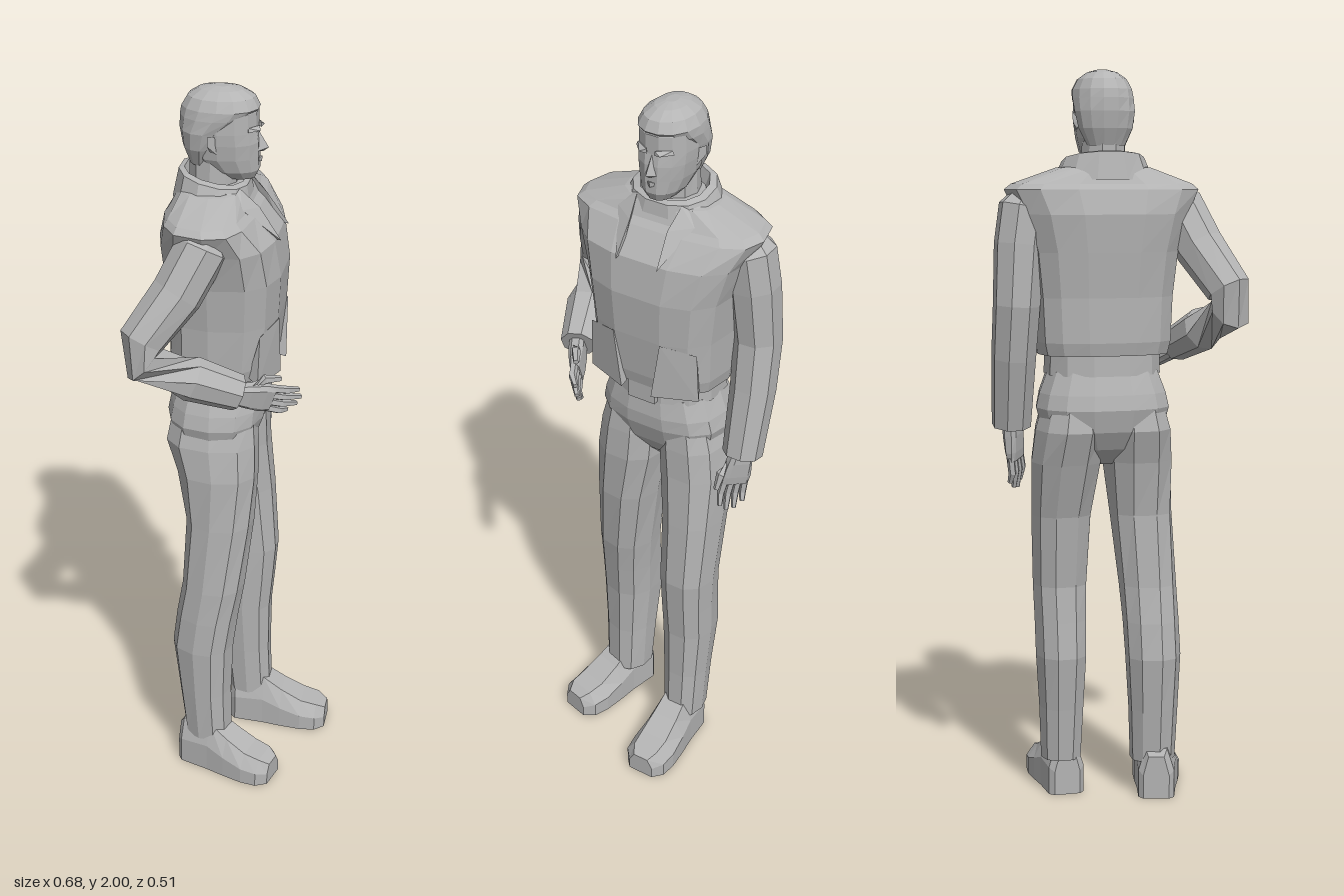
import * as THREE from 'three';
import { ConvexGeometry } from 'three/addons/geometries/ConvexGeometry.js';

const V = (x, y, z) => new THREE.Vector3(x, y, z);

export function createModel() {
  const clay = new THREE.MeshStandardMaterial({ color: 0xb4b4b4 });
  clay.name = 'plain grey';

  const model = new THREE.Group();
  model.name = 'standingMan';
  // The whole figure is turned towards its left
  const body = new THREE.Group();
  body.name = 'body';
  body.position.set(0.06, 0, -0.03);
  body.rotation.y = 0.576;
  model.add(body);

  function add(name, geometry, parent = body) {
    const m = new THREE.Mesh(geometry, clay);
    m.name = name;
    parent.add(m);
    return m;
  }

  // Faceted skin over a list of rings (counterclockwise around the direction of travel)
  function skin(rings, caps = true) {
    const n = rings[0].length, pos = [], idx = [];
    rings.forEach(r => r.forEach(p => pos.push(p.x, p.y, p.z)));
    for (let i = 0; i < rings.length - 1; i++) {
      for (let j = 0; j < n; j++) {
        const a = i * n + j, b = i * n + (j + 1) % n;
        idx.push(a, b, b + n, a, b + n, a + n);
      }
    }
    if (caps) {
      [0, rings.length - 1].forEach((i, end) => {
        const c = rings[i].reduce((s, p) => s.add(p), V(0, 0, 0)).divideScalar(n);
        const k = pos.length / 3;
        pos.push(c.x, c.y, c.z);
        for (let j = 0; j < n; j++) {
          const a = i * n + j, b = i * n + (j + 1) % n;
          if (end) idx.push(k, a, b); else idx.push(k, b, a);
        }
      });
    }
    const g = new THREE.BufferGeometry();
    g.setAttribute('position', new THREE.Float32BufferAttribute(pos, 3));
    g.setIndex(idx);
    const flat = g.toNonIndexed();
    flat.computeVertexNormals();
    return flat;
  }

  // Level sections: [y, centre x, centre z, half width, front depth, back depth, yaw, tilt]
  function loft(sections, sides = 12, power = 0.85, caps = true) {
    const bend = v => Math.sign(v) * Math.abs(v) ** power;
    return skin(sections.map(([y, cx, cz, w, f, b, yaw = 0, tilt = 0]) =>
      Array.from({ length: sides }, (_, j) => {
        const t = (j + 0.5) / sides * Math.PI * 2;
        const x = bend(Math.sin(t)) * w, c = bend(Math.cos(t)), z = c * (c > 0 ? f : b);
        return V(cx + x * Math.cos(yaw) + z * Math.sin(yaw), y + z * tilt, cz - x * Math.sin(yaw) + z * Math.cos(yaw));
      })), caps);
  }

  // Tapered limb through points [x, y, z, radius]
  function limb(points, sides = 8) {
    const p = points.map(q => V(q[0], q[1], q[2]));
    return skin(p.map((c, i) => {
      const d = p[Math.min(i + 1, p.length - 1)].clone().sub(p[Math.max(i - 1, 0)]).normalize();
      const ref = Math.abs(d.z) > 0.85 ? V(1, 0, 0) : V(0, 0, 1);
      const a = ref.addScaledVector(d, -ref.dot(d)).normalize();
      const b = d.clone().cross(a);
      return Array.from({ length: sides }, (_, j) => {
        const t = (j + 0.5) / sides * Math.PI * 2, r = points[i][3];
        return c.clone().addScaledVector(a, Math.cos(t) * r).addScaledVector(b, Math.sin(t) * r);
      });
    }));
  }

  const hull = (pts, s = 1) => new ConvexGeometry(pts.map(([x, y, z]) => V(x * s, y, z)));

  // Jacket with square shoulders
  add('jacket', loft([
    [1.245, 0, 0, 0.178, 0.148, 0.122],
    [1.28, 0, 0, 0.186, 0.156, 0.13],
    [1.40, 0, 0, 0.192, 0.168, 0.13],
    [1.52, 0, 0, 0.206, 0.174, 0.142],
    [1.62, 0, 0, 0.235, 0.158, 0.15],
    [1.685, 0, 0, 0.268, 0.105, 0.134],
    [1.70, 0, -0.005, 0.25, 0.092, 0.118],
    [1.742, 0, -0.01, 0.13, 0.075, 0.092],
    [1.75, 0, -0.01, 0.08, 0.06, 0.075],
  ], 14, 0.7));
  add('collar', loft([
    [1.70, 0, -0.01, 0.14, 0.095, 0.115, 0, -0.1],
    [1.765, 0, -0.01, 0.11, 0.085, 0.1, 0, -0.2],
    [1.77, 0, -0.01, 0.09, 0.072, 0.086, 0, -0.2],
    [1.72, 0, -0.01, 0.07, 0.06, 0.07, 0, -0.1],
  ], 12, 0.9, false));
  for (const s of [1, -1]) {
    add('lapel', hull([[0.1, 1.755, 0.02], [0.065, 1.75, 0.06], [0.112, 1.71, 0.075], [0.06, 1.615, 0.168],
      [0.055, 1.70, 0.11], [0.075, 1.69, 0.06], [0.058, 1.62, 0.14]], s));
    add('jacketFlap', hull([[0.07, 1.40, 0.168], [0.16, 1.38, 0.132], [0.045, 1.235, 0.17], [0.165, 1.24, 0.128],
      [0.07, 1.38, 0.14], [0.15, 1.26, 0.1], [0.045, 1.24, 0.145]], s));
  }

  // Belt and trousers
  add('belt', loft([[1.19, 0, 0, 0.158, 0.132, 0.118], [1.255, 0, 0, 0.156, 0.13, 0.115]]));
  add('buckle', new THREE.BoxGeometry(0.08, 0.052, 0.02)).position.set(0, 1.22, 0.134);
  add('hips', loft([
    [0.945, 0, 0, 0.04, 0.03, 0.05],
    [0.99, 0, 0, 0.12, 0.075, 0.095],
    [1.04, 0, 0, 0.168, 0.108, 0.125],
    [1.10, 0, 0, 0.184, 0.13, 0.14],
    [1.14, 0, 0, 0.175, 0.134, 0.132],
    [1.2, 0, 0, 0.152, 0.128, 0.113],
  ], 14, 0.8));
  add('leftLeg', loft([
    [0.1, 0.104, 0.07, 0.057, 0.066, 0.062],
    [0.25, 0.104, 0.062, 0.063, 0.068, 0.072],
    [0.4, 0.106, 0.055, 0.071, 0.076, 0.088],
    [0.5, 0.106, 0.06, 0.073, 0.08, 0.085],
    [0.6, 0.107, 0.062, 0.076, 0.086, 0.08],
    [0.8, 0.108, 0.035, 0.084, 0.1, 0.082],
    [0.95, 0.1, 0.01, 0.096, 0.112, 0.108],
    [1.04, 0.092, 0, 0.094, 0.12, 0.132],
    [1.13, 0.085, 0, 0.075, 0.112, 0.115],
  ], 10));
  add('rightLeg', loft([
    [0.1, -0.142, -0.008, 0.063, 0.066, 0.064, -0.3],
    [0.25, -0.142, -0.015, 0.069, 0.07, 0.076, -0.3],
    [0.4, -0.14, -0.02, 0.077, 0.08, 0.09, -0.28],
    [0.5, -0.136, -0.01, 0.078, 0.083, 0.088, -0.25],
    [0.6, -0.13, 0.002, 0.08, 0.088, 0.083, -0.2],
    [0.8, -0.113, 0.013, 0.087, 0.1, 0.085, -0.1],
    [0.95, -0.1, 0.01, 0.097, 0.112, 0.11],
    [1.04, -0.092, 0, 0.094, 0.12, 0.132],
    [1.13, -0.085, 0, 0.075, 0.112, 0.115],
  ], 10));

  // Boots: sections [z, half width, height]
  function boot(name, x, z, yaw) {
    const m = add(name, skin([
      [-0.055, 0.036, 0.12], [-0.04, 0.05, 0.14], [0.045, 0.055, 0.15], [0.1, 0.062, 0.115],
      [0.16, 0.067, 0.085], [0.205, 0.062, 0.075], [0.232, 0.038, 0.06],
    ].map(([d, w, h]) => [[-w, 0], [w, 0], [w, 0.55 * h], [0.6 * w, h], [-0.6 * w, h], [-w, 0.55 * h]]
      .map(([px, py]) => V(px, py, d)))));
    m.position.set(x, 0, z);
    m.rotation.y = yaw;
  }
  boot('leftBoot', 0.097, 0.073, 0);
  boot('rightBoot', -0.148, -0.03, -0.27);

  // Arms
  add('leftSleeve', limb([
    [0.205, 1.675, -0.02, 0.04], [0.218, 1.64, -0.02, 0.068], [0.232, 1.54, -0.025, 0.069],
    [0.243, 1.38, -0.034, 0.064], [0.247, 1.24, -0.01, 0.061], [0.246, 1.05, 0.033, 0.054],
  ]));
  add('rightSleeve', limb([
    [-0.19, 1.675, -0.01, 0.04], [-0.21, 1.64, -0.01, 0.07], [-0.256, 1.53, -0.065, 0.068],
    [-0.313, 1.42, -0.145, 0.061], [-0.32, 1.36, -0.142, 0.058], [-0.278, 1.305, -0.025, 0.06], [-0.235, 1.255, 0.09, 0.049],
  ]));

  // Hands: fingers run along z, thumb on the +x side
  function hand(name, wrist, tip, side) {
    const g = new THREE.Group();
    g.name = name;
    const d = tip.clone().sub(wrist).normalize();
    const w = side.clone().addScaledVector(d, -side.dot(d)).normalize();
    g.applyMatrix4(new THREE.Matrix4().makeBasis(w, d.clone().cross(w), d).setPosition(wrist));
    add('palm', skin([[-0.02, 0.026, 0.02], [0.025, 0.034, 0.02], [0.07, 0.04, 0.016], [0.095, 0.038, 0.012]]
      .map(([z, a, b]) => [[-a, -b / 2], [-a * 0.7, -b], [a * 0.7, -b], [a, -b / 2], [a, b / 2], [a * 0.7, b], [-a * 0.7, b], [-a, b / 2]]
        .map(([x, y]) => V(x, y, z)))), g);
    [0.165, 0.18, 0.175, 0.155].forEach((len, i) => {
      const x = 0.029 - i * 0.0195;
      add('finger', limb([[x, 0, 0.085, 0.0115], [x * 1.1, 0.002, 0.13, 0.011], [x * 1.1, -0.008, len, 0.007]], 5), g);
    });
    add('thumb', limb([[0.02, 0, 0.02, 0.014], [0.05, -0.008, 0.06, 0.013], [0.056, -0.012, 0.105, 0.008]], 5), g);
    body.add(g);
  }
  hand('leftHand', V(0.243, 1.05, 0.035), V(0.222, 0.87, 0.058), V(-0.6, 0, 0.8));
  hand('rightHand', V(-0.235, 1.25, 0.092), V(-0.146, 1.2, 0.238), V(-0.2, 1, 0));

  // Head and neck
  add('neck', loft([[1.7, 0, -0.02, 0.064, 0.062, 0.065], [1.83, 0, -0.02, 0.058, 0.07, 0.065]], 10, 1));
  add('head', loft([
    [1.763, 0, 0.04, 0.034, 0.048, 0.03],
    [1.785, 0, 0.02, 0.054, 0.08, 0.05],
    [1.82, 0, 0, 0.067, 0.1, 0.075],
    [1.86, 0, 0, 0.073, 0.1, 0.092],
    [1.89, 0, 0, 0.075, 0.095, 0.1],
    [1.94, 0, 0, 0.073, 0.095, 0.1],
    [1.975, 0, 0, 0.058, 0.07, 0.08],
  ], 14, 0.9));
  add('hair', loft([
    [1.80, 0, -0.05, 0.052, 0.02, 0.032],
    [1.845, 0, -0.045, 0.074, 0.035, 0.055],
    [1.89, 0, -0.035, 0.082, 0.06, 0.073],
    [1.925, 0, -0.01, 0.082, 0.085, 0.098],
    [1.948, 0, 0, 0.079, 0.099, 0.104],
    [1.975, 0, 0, 0.065, 0.086, 0.088],
    [1.993, 0, 0, 0.04, 0.055, 0.06],
    [2.0, 0, 0, 0.015, 0.02, 0.025],
  ], 14, 0.95));
  add('nose', hull([[0, 1.888, 0.094], [0, 1.843, 0.122], [0.016, 1.836, 0.097], [-0.016, 1.836, 0.097], [0, 1.832, 0.108], [0, 1.86, 0.08]]));
  add('mouth', hull([[0.026, 1.812, 0.086], [-0.026, 1.812, 0.086], [0, 1.819, 0.106], [0, 1.804, 0.104], [0, 1.812, 0.08]]));
  for (const s of [1, -1]) {
    add('brow', hull([[0.01, 1.892, 0.1], [0.055, 1.896, 0.078], [0.012, 1.904, 0.1], [0.05, 1.906, 0.078], [0.03, 1.895, 0.105], [0.03, 1.9, 0.07]], s));
    add('ear', hull([[0.07, 1.885, 0.002], [0.085, 1.888, -0.022], [0.084, 1.862, -0.022], [0.07, 1.838, 0], [0.072, 1.845, -0.018], [0.062, 1.865, -0.02]], s));
  }
  return model;
}
